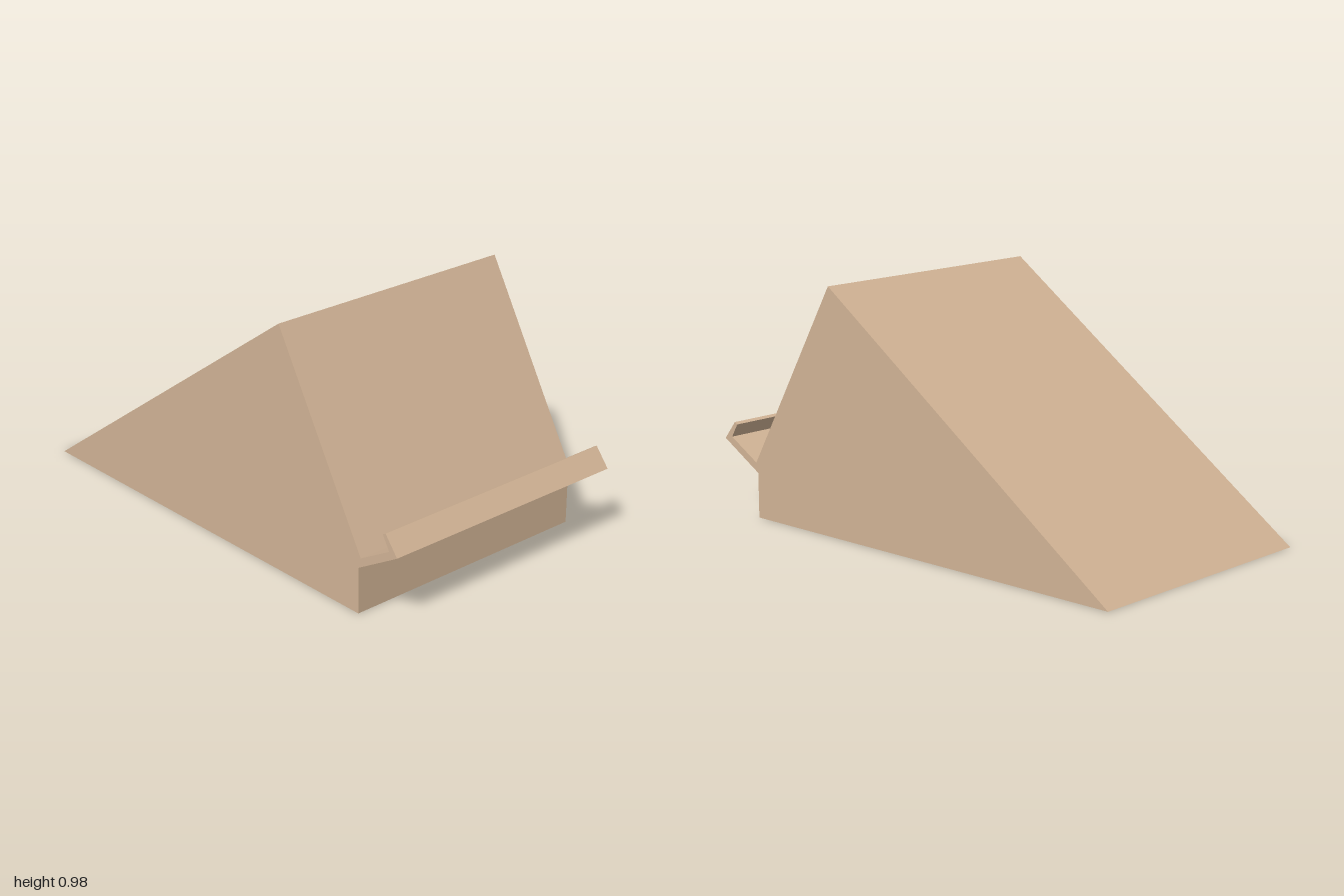
import * as THREE from 'three';

const WIDTH = 1.08;

// Extrude a side profile of [z, y] points across the width, centred on x = 0
function profileMesh(name, points, material) {
  const shape = new THREE.Shape(points.map(([z, y]) => new THREE.Vector2(z, y)));
  const geometry = new THREE.ExtrudeGeometry(shape, { depth: WIDTH, bevelEnabled: false });
  geometry.rotateY(-Math.PI / 2);
  geometry.translate(WIDTH / 2, 0, 0);
  const mesh = new THREE.Mesh(geometry, material);
  mesh.name = name;
  return mesh;
}

export function createModel() {
  const tan = new THREE.MeshStandardMaterial({ color: 0xd2b496 });
  tan.name = 'tan';

  const group = new THREE.Group();
  group.name = 'wedgeStand';

  // One solid piece: wedge body with a ledge and hooked lip at the front
  group.add(profileMesh('wedgeBodyWithLip', [
    [-1, 0],
    [0.806, 0],
    [0.806, 0.183], // underside of ledge
    [1, 0.296],
    [0.941, 0.37], // lip tip
    [0.927, 0.362],
    [0.96, 0.307], // inner corner of lip
    [0.816, 0.224], // foot of the sloping rest
    [0.381, 0.978], // ridge
  ], tan));

  return group;
}
